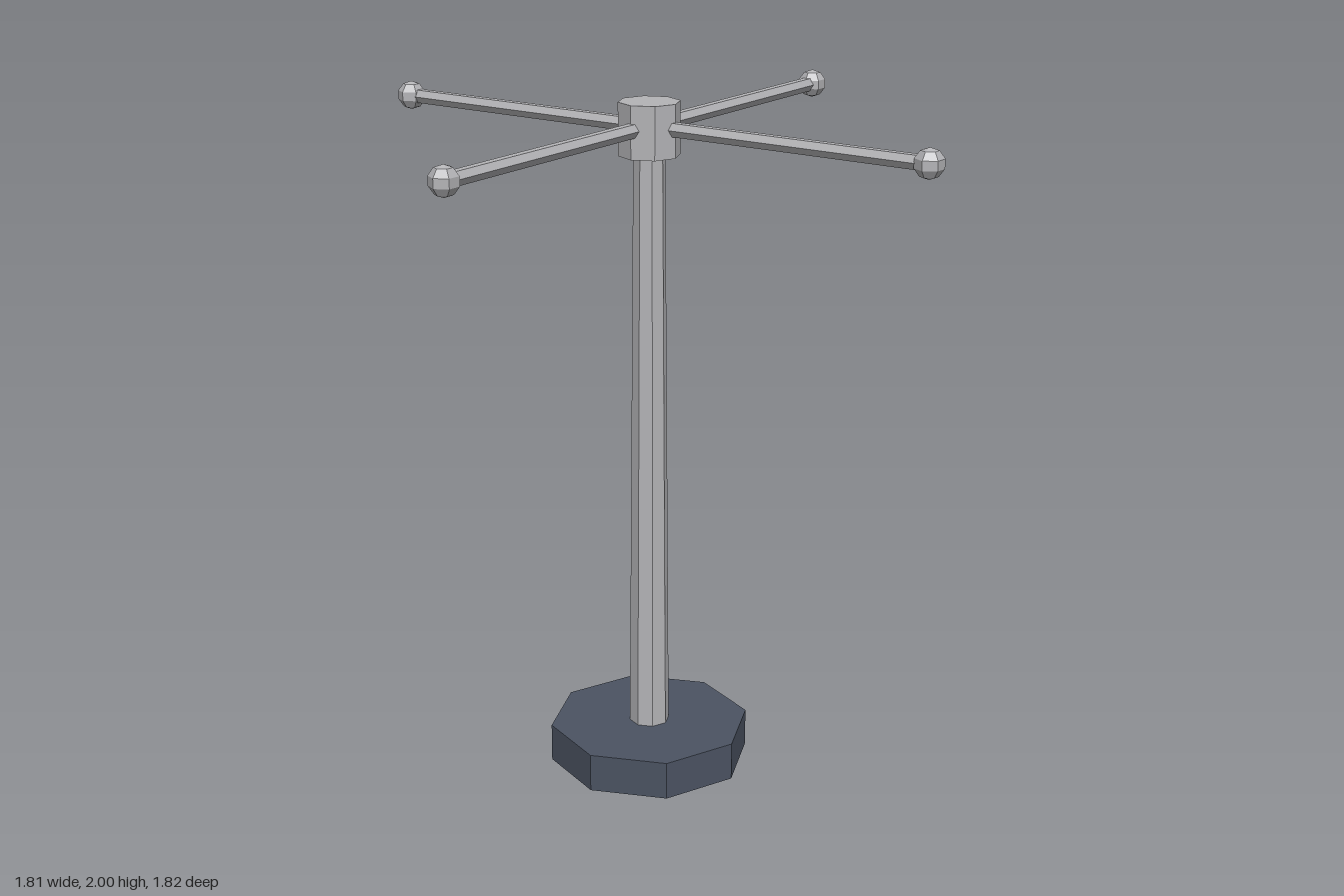
import * as THREE from 'three';

export function createModel() {
  const model = new THREE.Group();
  const metal = new THREE.MeshStandardMaterial({ color: 0xb4b4b7, flatShading: true });
  metal.name = 'light grey metal';
  const slate = new THREE.MeshStandardMaterial({ color: 0x4b5362, flatShading: true });
  slate.name = 'dark slate';

  const add = (name, geometry, material, y, parent = model) => {
    const mesh = new THREE.Mesh(geometry, material);
    mesh.name = name;
    mesh.position.y = y;
    parent.add(mesh);
    return mesh;
  };

  // Octagonal foot, tapered pole and hub
  add('base', new THREE.CylinderGeometry(0.3, 0.3, 0.115, 8), slate, 0.0575);
  add('pole', new THREE.CylinderGeometry(0.045, 0.06, 1.8, 8), metal, 1.0);
  add('hub', new THREE.CylinderGeometry(0.088, 0.088, 0.15, 8), metal, 1.925);

  // Two crossing bars, each reaching out on both sides of the hub
  const armY = 1.93, reach = 0.87;
  const bar = new THREE.CylinderGeometry(0.022, 0.022, reach * 2, 6).rotateZ(Math.PI / 2);
  add('sideArms', bar, metal, armY);
  add('frontBackArms', bar, metal, armY).rotation.y = Math.PI / 2;

  // Faceted knob on each arm tip
  const knob = new THREE.SphereGeometry(0.042, 6, 5).rotateY(Math.PI / 2);
  for (let i = 0; i < 4; i++) {
    const a = i * Math.PI / 2;
    const tip = add('armKnob', knob, metal, armY);
    tip.position.x = Math.cos(a) * reach;
    tip.position.z = Math.sin(a) * reach;
  }
  return model;
}
